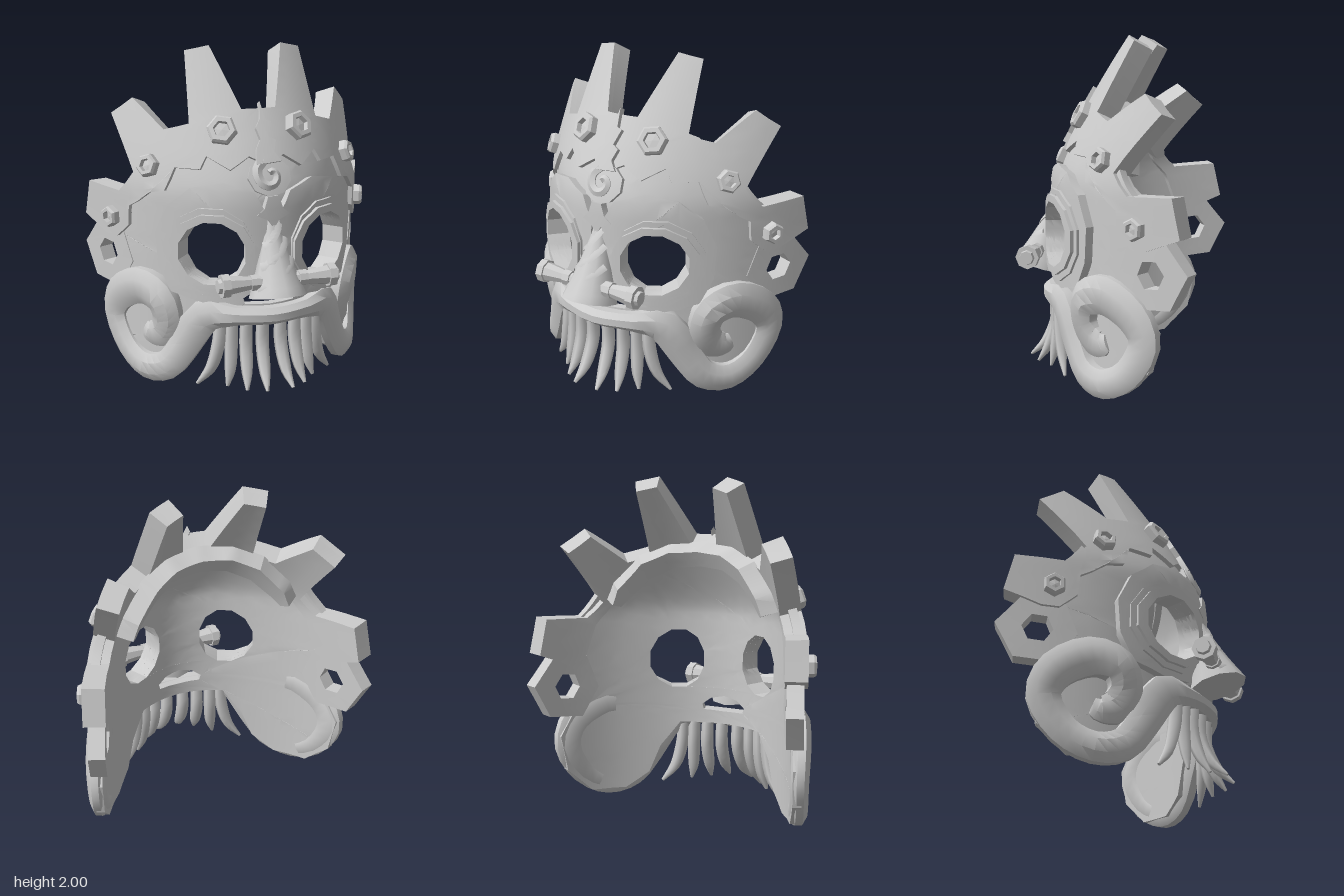
import * as THREE from 'three';
import { toCreasedNormals } from 'three/addons/utils/BufferGeometryUtils.js';

const V = (x, y, z) => new THREE.Vector3(x, y, z);
const mat = new THREE.MeshStandardMaterial({ color: 0xcccccc });

// The curved face: depth at (x, y), its normal, and a point raised d above it
const depth = (x, y) => {
  const t = Math.max(0, y - 1.15), u = Math.max(0, Math.abs(x) - 0.6);
  return 0.31 - 0.95 * x * x - 1.25 * u * u - 0.6 * t * t / (t + 0.15);
};
const normalAt = (x, y) => {
  const e = 0.005;
  return V((depth(x - e, y) - depth(x + e, y)) / (2 * e), (depth(x, y - e) - depth(x, y + e)) / (2 * e), 1).normalize();
};
const onFace = (x, y, d) => V(x, y, depth(x, y)).addScaledVector(normalAt(x, y), d);

function finish(pos, crease) {
  const g = new THREE.BufferGeometry();
  g.setAttribute('position', new THREE.Float32BufferAttribute(pos, 3));
  return toCreasedNormals(g, crease);
}

// Plate cut from a flat outline, bent over the face, between offsets d0 and d1
function plate(outline, d0, d1, holes = [], limit = 0.09) {
  const toV = (l, cw) => {
    const r = l.map(([x, y]) => new THREE.Vector2(x, y));
    return THREE.ShapeUtils.isClockWise(r) === cw ? r : r.reverse();
  };
  const rim = toV(outline, false), cuts = holes.map(h => toV(h, true));
  const all = [rim, ...cuts].flat(), pos = [];
  const put = (p, d) => pos.push(...onFace(p.x, p.y, d).toArray());
  const mid = (a, b) => a.clone().add(b).multiplyScalar(0.5);
  const split = (a, b, c) => {
    const l = [a.distanceTo(b), b.distanceTo(c), c.distanceTo(a)], m = Math.max(...l);
    if (m <= limit) {
      [a, b, c].forEach(p => put(p, d1));
      [a, c, b].forEach(p => put(p, d0));
      return;
    }
    if (m === l[1]) [a, b, c] = [b, c, a];
    else if (m === l[2]) [a, b, c] = [c, a, b];
    const q = mid(a, b);
    split(a, q, c); split(q, b, c);
  };
  for (const [i, j, k] of THREE.ShapeUtils.triangulateShape(rim, cuts)) {
    const [a, b, c] = [all[i], all[j], all[k]];
    const area = (b.x - a.x) * (c.y - a.y) - (b.y - a.y) * (c.x - a.x);
    if (area > 0) split(a, b, c); else split(a, c, b);
  }
  const wall = (a, b) => {
    if (a.distanceTo(b) > limit) { const q = mid(a, b); wall(a, q); wall(q, b); return; }
    put(a, d0); put(b, d0); put(b, d1); put(a, d0); put(b, d1); put(a, d1);
  };
  for (const loop of [rim, ...cuts]) loop.forEach((p, i) => wall(p, loop[(i + 1) % loop.length]));
  return finish(pos, 0.5);
}

// Tube through points, with half-width and half-height per point
function sweep(pts, sizes, normalFn, steps, sides = 8, crease = 0.75) {
  const path = new THREE.CatmullRomCurve3(pts, false, 'catmullrom');
  const size = new THREE.CatmullRomCurve3(sizes.map(([w, h]) => V(w, h, 0)), false, 'catmullrom');
  const rings = [], mids = [], pos = [];
  for (let i = 0; i <= steps; i++) {
    const t = i / steps, p = path.getPoint(t), T = path.getTangent(t), s = size.getPoint(t);
    const n = normalFn(p); n.addScaledVector(T, -n.dot(T)).normalize();
    const side = n.clone().cross(T);
    mids.push(p);
    rings.push(Array.from({ length: sides }, (_, k) => {
      const a = (k + 0.5) / sides * Math.PI * 2;
      return p.clone().addScaledVector(side, Math.cos(a) * s.x).addScaledVector(n, Math.sin(a) * s.y);
    }));
  }
  const tri = (...v) => v.forEach(p => pos.push(p.x, p.y, p.z));
  for (let k = 0; k < sides; k++) {
    const m = (k + 1) % sides;
    for (let i = 0; i < steps; i++) {
      const A = rings[i], B = rings[i + 1];
      tri(A[k], A[m], B[m]); tri(A[k], B[m], B[k]);
    }
    tri(mids[0], rings[0][m], rings[0][k]);
    tri(mids[steps], rings[steps][k], rings[steps][m]);
  }
  return finish(pos, crease);
}

const flip = l => l.map(([x, ...r]) => [-x, ...r]);
// Mirrors a half outline whose first and last points lie on x = 0
const whole = half => [...half, ...flip(half.slice(1, -1)).reverse()];
const oval = (cx, cy, rx, ry, n, turn = 0) => Array.from({ length: n }, (_, i) => {
  const a = i / n * Math.PI * 2 + turn;
  return [cx + rx * Math.cos(a), cy + ry * Math.sin(a)];
});
const faceNormal = p => normalAt(p.x, p.y);
const forward = () => V(0, 0, 1);

export function createModel() {
  const root = new THREE.Group();
  const add = (name, geo) => {
    const m = new THREE.Mesh(geo, mat);
    m.name = name; root.add(m);
    return m;
  };

  // Face shell with eye and mouth openings
  const eye = s => oval(s * 0.305, 0.86, 0.16, 0.19, 12, 0.26);
  const shell = whole([[0, 0.45], [0.3, 0.45], [0.41, 0.3], [0.47, 0.13], [0.58, 0.04], [0.72, 0.05], [0.8, 0.2],
    [0.82, 0.42], [0.78, 0.56], [0.73, 0.6], [0.74, 0.88], [0.77, 0.95], [0.75, 1.15], [0.65, 1.33], [0.45, 1.48], [0, 1.55]]);
  const mouth = whole([[0, 0.53], [0.15, 0.535], [0.16, 0.57], [0.1, 0.61], [0, 0.63]]);
  add('faceShell', plate(shell, -0.05, 0, [eye(1), eye(-1), mouth]));

  // Toothed crown: thin front layer with a stepped lower edge, thick back layer with an arched one
  const teeth = [[0, 1.64], [0.1, 1.64], [0.215, 1.985], [0.345, 1.955], [0.38, 1.56], [0.505, 1.52], [0.63, 1.68],
    [0.735, 1.58], [0.67, 1.26], [0.74, 1.15], [0.865, 1.165], [0.885, 0.95], [0.8, 0.87]];
  const steps = [[0.755, 0.865], [0.705, 0.95], [0.7, 1.07], [0.66, 1.11], [0.61, 1.17], [0.54, 1.19], [0.48, 1.32],
    [0.36, 1.32], [0.32, 1.39], [0.21, 1.32], [0.1, 1.39], [0, 1.34]];
  const arch = [[0.75, 0.9], [0.71, 1.1], [0.62, 1.27], [0.45, 1.42], [0.25, 1.5], [0, 1.52]];
  add('crownFront', plate(whole([...teeth, ...steps]), -0.01, 0.025));
  add('crownBack', plate(whole([...teeth, ...arch]), -0.1, -0.01));
  add('crownInnerRim', plate(whole([[0, 1.66], [0.25, 1.64], [0.44, 1.56], [0.6, 1.39], [0.65, 1.28], [0.61, 1.27],
    [0.55, 1.34], [0.41, 1.47], [0.23, 1.55], [0, 1.57]]), -0.2, -0.09));

  for (const s of [1, -1]) {
    const side = s > 0 ? 'left' : 'right';
    const m = l => (s > 0 ? l : flip(l));

    // Eye surround and raised goggle ring
    add(side + 'EyePlate', plate(m([[0.03, 1.08], [0.1, 1.2], [0.25, 1.25], [0.41, 1.22], [0.52, 1.12], [0.575, 0.95],
      [0.565, 0.75], [0.51, 0.6], [0.35, 0.55], [0.2, 0.57], [0.13, 0.7], [0.05, 0.86]]), -0.02, 0.05, [eye(s)]));
    add(side + 'EyeRim', plate(oval(s * 0.315, 0.86, 0.22, 0.27, 12, 0.26), 0.03, 0.065, [eye(s)]));
    add(side + 'EyeRing', plate(oval(s * 0.305, 0.86, 0.205, 0.235, 12, 0.26), 0.03, 0.085, [eye(s)]));

    // Six-sided ear ring
    add(side + 'EarRing', plate(oval(s * 0.8, 0.74, 0.1, 0.215, 6, 0.1 * s), -0.09, 0.005,
      [oval(s * 0.805, 0.74, 0.038, 0.085, 6, 0.1 * s)]));

    // Six-sided bolts on the crown
    for (const [x, y, r] of [[0.22, 1.525, 0.09], [0.595, 1.315, 0.07], [0.77, 0.985, 0.065]]) {
      const profile = [[0, 0], [r, 0], [r, 0.045], [r * 0.85, 0.06], [r * 0.55, 0.06], [r * 0.5, 0.03], [0, 0.035]];
      const g = new THREE.LatheGeometry(profile.map(p => new THREE.Vector2(...p)), 6).toNonIndexed();
      g.computeVertexNormals();
      const b = add(side + 'Bolt', g);
      b.position.copy(onFace(s * x, y, 0.015));
      b.quaternion.setFromUnitVectors(V(0, 1, 0), normalAt(s * x, y));
    }

    // Nose bar: stepped segments
    for (const [x0, x1, r0, r1] of [[0.04, 0.18, 0.035, 0.04], [0.12, 0.17, 0.048, 0.048], [0.17, 0.3, 0.04, 0.058],
      [0.3, 0.345, 0.07, 0.07], [0.345, 0.365, 0.045, 0.04]]) {
      const g = new THREE.CylinderGeometry(r0, r1, x1 - x0, 8).toNonIndexed();
      g.computeVertexNormals();
      const b = add(side + 'NoseBar', g);
      b.rotation.z = s * Math.PI / 2;
      b.position.set(s * (x0 + x1) / 2, 0.715, 0.44);
    }

    // Curved fangs under the lip: root x, tip x, tip z, tip y
    for (const [a, b, z, y] of [[0.055, 0.08, 0.49, 0.06], [0.15, 0.18, 0.42, 0.05], [0.23, 0.27, 0.32, 0.05],
      [0.29, 0.42, 0.2, 0.04]]) {
      const zr = depth(a, 0.45) + 0.03;
      add(side + 'Fang', sweep([V(s * a, 0.47, zr), V(s * (a * 0.9 + b * 0.1), 0.3, zr - 0.005),
        V(s * (a * 0.6 + b * 0.4), 0.15, (zr * 1.2 + z * 0.8) / 2), V(s * b, y, z)],
      [[0.035, 0.04], [0.04, 0.04], [0.035, 0.03], [0.01, 0.008]], forward, 10, 6, 1.2));
    }
  }

  // Lip that runs into a curled cheek on each side: x, y, lift, half-width, half-height
  const curl = [[0, 0.475, 0.04, 0.055, 0.07], [0.2, 0.48, 0.04, 0.06, 0.06], [0.36, 0.455, 0.03, 0.11, 0.06],
    [0.46, 0.26, 0.02, 0.1, 0.06], [0.54, 0.12, 0.02, 0.095, 0.06], [0.645, 0.085, 0.01, 0.09, 0.06],
    [0.735, 0.17, -0.005, 0.09, 0.055], [0.785, 0.35, -0.01, 0.1, 0.055], [0.755, 0.5, 0, 0.115, 0.06],
    [0.66, 0.59, 0.01, 0.12, 0.07], [0.565, 0.55, 0.03, 0.11, 0.075], [0.535, 0.43, 0.025, 0.1, 0.065],
    [0.565, 0.33, 0.01, 0.1, 0.05], [0.62, 0.3, 0, 0.08, 0.04], [0.65, 0.32, -0.005, 0.05, 0.025]];
  const lip = [...flip(curl.slice(1)).reverse(), ...curl];
  add('lipAndCheekCurls', sweep(lip.map(([x, y, d]) => onFace(x, y, d)), lip.map(p => p.slice(3)), faceNormal, 84, 8, 0.6));

  // Nose widening toward the tip, wrapped by slanted ridges
  const nose = y => {
    const k = Math.max(0, (1.1 - y) / 0.48);
    return { w: 0.03 + 0.135 * k ** 1.3, z: 0.3 + 0.13 * k, h: 0.03 + 0.14 * k ** 1.5 };
  };
  const levels = [1.1, 0.98, 0.86, 0.74, 0.615];
  add('nose', sweep(levels.map(y => V(0, y, nose(y).z)), levels.map(y => [nose(y).w, nose(y).h]), forward, 10, 10));
  for (const y0 of [0.98, 0.87, 0.76]) {
    const arc = [-1.2, -0.6, 0, 0.6, 1.2].map(a => {
      const y = y0 + 0.08 * Math.sin(a), n = nose(y);
      return V(n.w * Math.sin(a), y, n.z + n.h * Math.cos(a));
    });
    add('noseRidge', sweep(arc, arc.map(() => [0.03, 0.01]), p => V(p.x, 0.15, p.z - 0.3).normalize(), 10, 5));
  }
  add('noseLeaf', plate([[-0.03, 1.05], [0, 1], [0.03, 1.05], [0.09, 1.08], [0.05, 1.12], [0.03, 1.18], [-0.03, 1.18], [-0.05, 1.12], [-0.09, 1.08]], -0.02, 0.055));

  // Brow ornament: disc, spiral and flame
  add('browDisc', plate(oval(0, 1.28, 0.125, 0.105, 9, 0.4), -0.02, 0.035));
  const spiral = Array.from({ length: 9 }, (_, i) => {
    const a = 1.9 + i * 0.8, r = 0.085 - i * 0.009;
    return onFace(r * Math.cos(a), 1.285 + r * Math.sin(a), 0.025);
  });
  add('browSpiral', sweep(spiral, spiral.map((_, i) => [0.036 - i * 0.002, 0.03]), faceNormal, 24, 6));
  add('browFlame', plate([[-0.07, 1.34], [0.07, 1.35], [0.035, 1.4], [0.055, 1.46], [0.02, 1.48], [0.045, 1.56],
    [0.015, 1.57], [0, 1.67], [-0.012, 1.58], [-0.045, 1.53], [-0.03, 1.47], [-0.06, 1.42]], 0.01, 0.055));

  return root;
}
